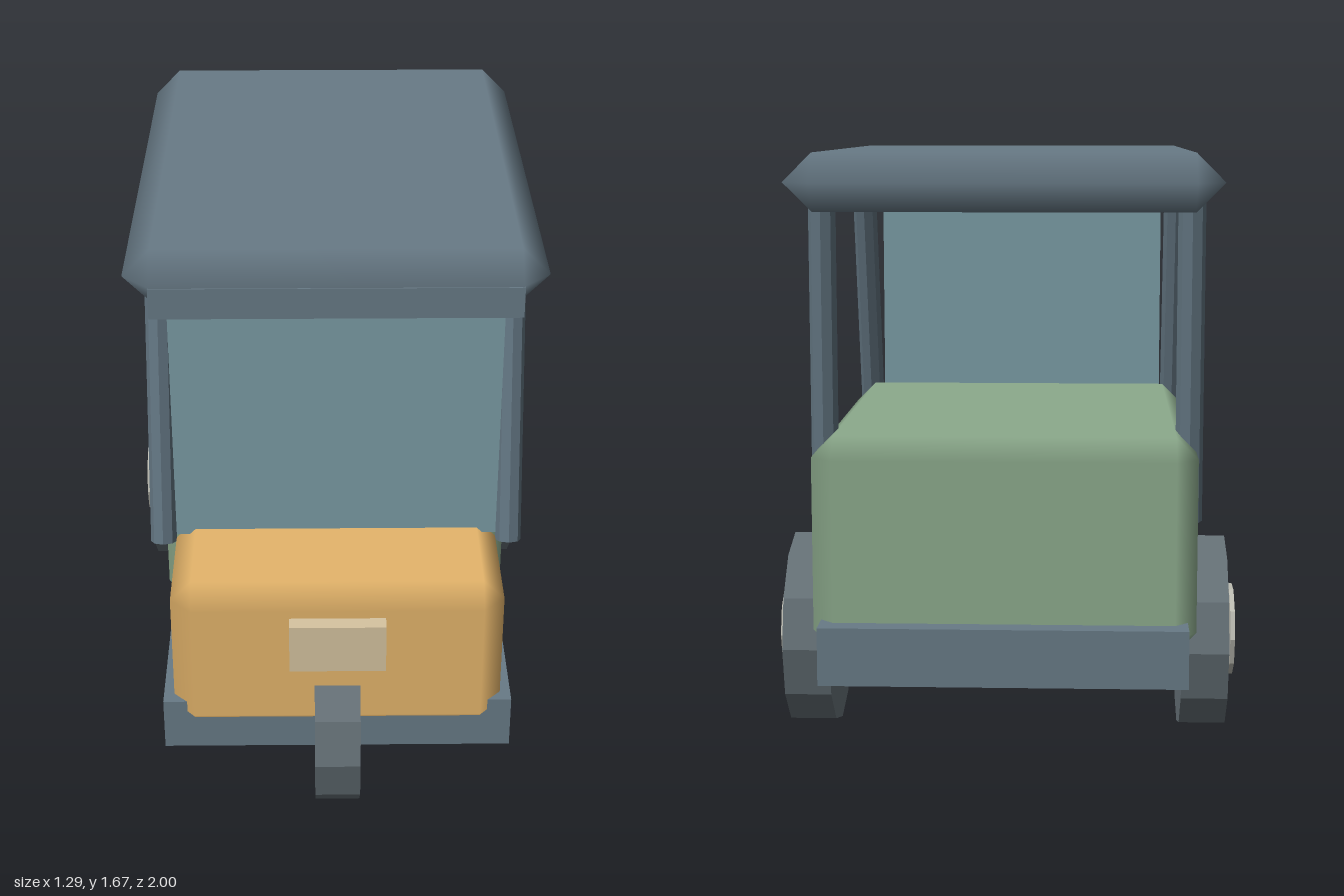
import * as THREE from 'three';

const mat = (color, flatShading = false) => new THREE.MeshStandardMaterial({ color, flatShading });

// Box with one chamfer of size r on every edge and normals blended across it:
// stacked eight-point rings, closed by two rectangular caps.
function chamferBox(w, h, d, r) {
  const W = w / 2, H = h / 2, D = d / 2;
  const corners = [[1, 1], [1, -1], [-1, -1], [-1, 1]];
  const pos = [], nor = [], idx = [];
  for (const [y, cap] of [[-H, -1], [-H + r, 0], [H - r, 0], [H, 1]]) {
    corners.forEach(([sx, sz], i) => {
      const side = [[sx, 0], [0, sz]];
      // ring order runs z-face, x-face at even corners and the reverse at odd ones
      const order = i % 2 ? side : [side[1], side[0]];
      for (const [nx, nz] of order) {
        pos.push(sx * (W - r) + (cap ? 0 : nx * r), y, sz * (D - r) + (cap ? 0 : nz * r));
        nor.push(cap ? 0 : nx, cap, cap ? 0 : nz);
      }
    });
  }
  for (let k = 0; k < 3; k++) {
    for (let i = 0; i < 8; i++) {
      const a = k * 8 + i, b = k * 8 + (i + 1) % 8;
      idx.push(a, a + 8, b, b, a + 8, b + 8);
    }
  }
  idx.push(0, 2, 4, 0, 4, 6, 24, 28, 26, 24, 30, 28);
  // flip the side quads so that they face outwards
  for (let i = 0; i < 144; i += 3) [idx[i + 1], idx[i + 2]] = [idx[i + 2], idx[i + 1]];
  // orient every triangle by its averaged normal
  const at = (arr, i) => new THREE.Vector3().fromArray(arr, i * 3);
  for (let i = 0; i < idx.length; i += 3) {
    const [a, b, c] = idx.slice(i, i + 3);
    const face = at(pos, b).sub(at(pos, a)).cross(at(pos, c).sub(at(pos, a)));
    if (face.dot(at(nor, a).add(at(nor, b)).add(at(nor, c))) < 0) {
      idx[i + 1] = c;
      idx[i + 2] = b;
    }
  }
  const g = new THREE.BufferGeometry();
  g.setAttribute('position', new THREE.Float32BufferAttribute(pos, 3));
  g.setAttribute('normal', new THREE.Float32BufferAttribute(nor, 3));
  g.setIndex(idx);
  return g;
}

export function createModel() {
  const group = new THREE.Group();
  const slate = mat(0x687a86), post = mat(0x5f717d, true), rubber = mat(0x657076, true);
  const orange = mat(0xe5b56b), green = mat(0x8caa8c), glass = mat(0x7b9ca5);
  const lamp = mat(0xd6c4a0), metal = mat(0xbcbcb2, true);

  const add = (name, geometry, material, x, y, z) => {
    const m = new THREE.Mesh(geometry, material);
    m.name = name;
    m.position.set(x, y, z);
    group.add(m);
    return m;
  };
  const box = (w, h, d) => new THREE.BoxGeometry(w, h, d);
  // Disc with its axle along x and a corner pointing forwards
  const disc = (r, width, sides) =>
    new THREE.CylinderGeometry(r, r, width, sides).rotateZ(Math.PI / 2);
  // Straight octagonal post between two points
  const strut = (name, from, to) => {
    const a = new THREE.Vector3(...from), b = new THREE.Vector3(...to);
    const dir = b.clone().sub(a), mid = a.clone().add(b).multiplyScalar(0.5);
    const m = add(name, new THREE.CylinderGeometry(0.038, 0.038, dir.length(), 8), post, mid.x, mid.y, mid.z);
    m.quaternion.setFromUnitVectors(new THREE.Vector3(0, 1, 0), dir.normalize());
  };

  // Body
  add('chassis', box(1, 0.16, 1.87), slate, 0, 0.32, -0.065);
  add('frontBody', chamferBox(0.94, 0.48, 0.445, 0.06), orange, 0, 0.546, 0.669);
  add('rearBody', chamferBox(1.05, 0.6, 1.2, 0.06), green, 0, 0.605, -0.341);
  add('headlight', box(0.27, 0.148, 0.045), lamp, 0, 0.635, 0.922);

  // Canopy
  add('roof', chamferBox(1.17, 0.156, 1.605, 0.078), slate, 0, 1.588, -0.193);
  add('roofHeader', box(1.02, 0.09, 0.09), slate, 0, 1.54, 0.565);
  add('windshield', box(0.93, 0.75, 0.075), glass, 0, 1.145, 0.518);

  // Mirrored posts and rear wheels
  for (const [s, side] of [[1, 'left'], [-1, 'right']]) {
    strut(side + 'FrontPost', [s * 0.507, 0.72, 0.515], [s * 0.507, 1.53, 0.295]);
    strut(side + 'RearPost', [s * 0.507, 0.645, -0.723], [s * 0.507, 1.537, -0.723]);
    add(side + 'RearWheel', disc(0.275, 0.13, 12), rubber, s * 0.553, 0.297, -0.575);
    add(side + 'RearHub', disc(0.13, 0.013, 10), metal, s * 0.638, 0.299, -0.575);
  }

  add('frontWheel', disc(0.265, 0.13, 12), rubber, 0, 0.265, 0.735);
  return group;
}
